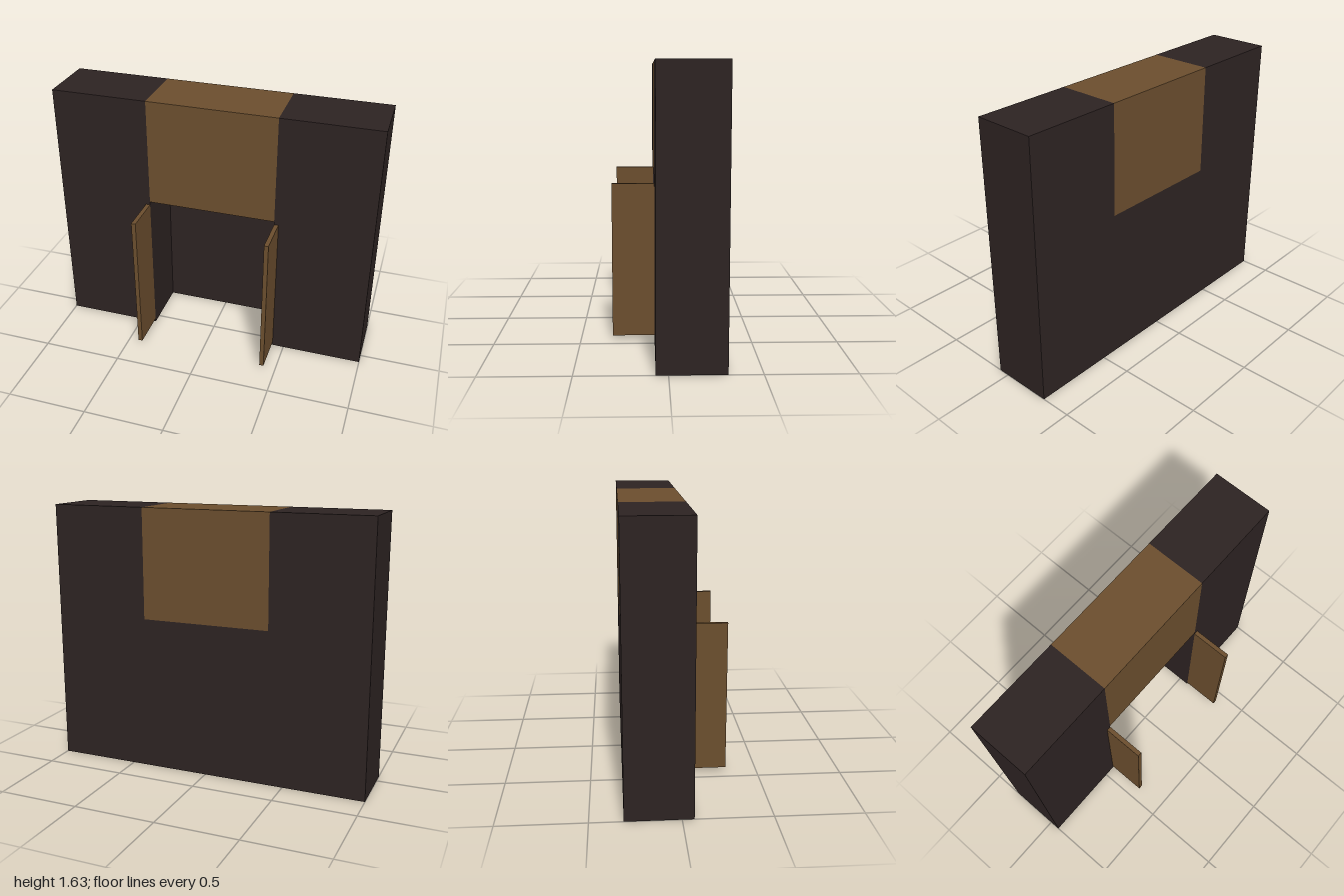
import * as THREE from 'three';

export function createModel() {
  const model = new THREE.Group();
  const darkPanel = new THREE.MeshStandardMaterial({ color: 0x2d2322 });
  darkPanel.name = 'darkPanel';
  const brownWood = new THREE.MeshStandardMaterial({ color: 0x6b4e2e });
  brownWood.name = 'brownWood';

  // Box given by its minimum and maximum corners
  function block(name, material, [x0, y0, z0], [x1, y1, z1]) {
    const mesh = new THREE.Mesh(new THREE.BoxGeometry(x1 - x0, y1 - y0, z1 - z0), material);
    mesh.position.set((x0 + x1) / 2, (y0 + y1) / 2, (z0 + z1) / 2);
    mesh.name = name;
    model.add(mesh);
  }

  const height = 1.626, opening = 0.95, half = 0.4;
  const back = -0.313, front = 0.067;

  // Side columns
  block('leftColumn', darkPanel, [half, 0, back], [1, height, front]);
  block('rightColumn', darkPanel, [-1, 0, back], [-half, height, front]);

  // Upper cabinet spanning the opening, and the thin wall closing its back
  block('upperCabinet', brownWood, [-half, opening, back], [half, height, front]);
  block('backWall', darkPanel, [-half, 0, back], [half, opening, back + 0.03]);

  // Doors standing open at either side of the recess
  block('leftDoor', brownWood, [half, 0.025, front], [half + 0.027, 0.93, 0.313]);
  block('rightDoor', brownWood, [-half - 0.027, 0.025, front], [-half, 0.93, 0.313]);

  return model;
}
